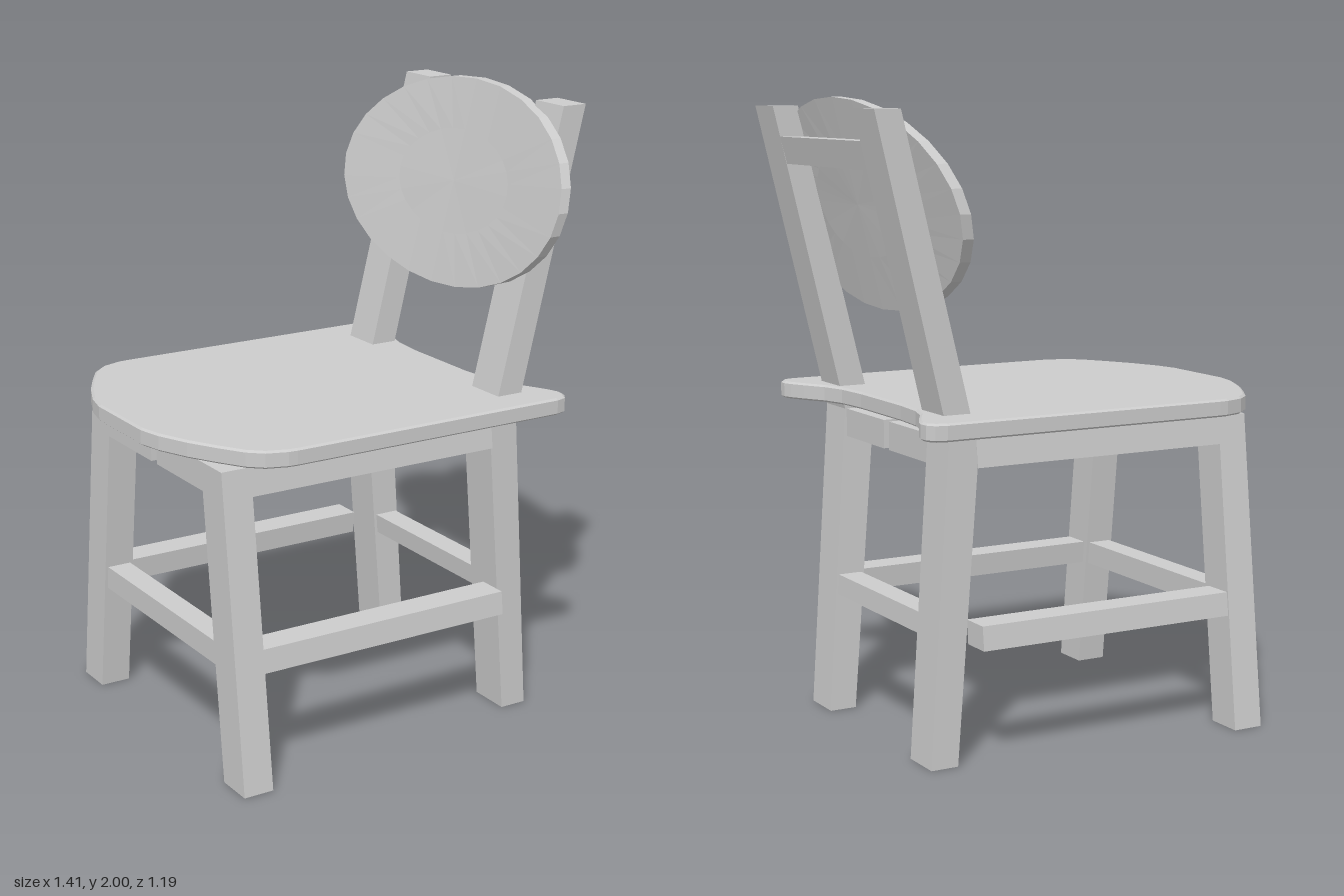
import * as THREE from 'three';

const material = new THREE.MeshStandardMaterial({ color: 0xcccccc, flatShading: true });
const MID = 0.01; // z of the frame's centre line

export function createModel() {
  const chair = new THREE.Group();

  function add(name, geometry) {
    const mesh = new THREE.Mesh(geometry, material);
    mesh.name = name;
    chair.add(mesh);
  }

  // Side profile in x/y extruded from z0 to z1; splay leans it outwards towards the floor
  function beam(name, profile, z0, z1, splay = 0) {
    const shape = new THREE.Shape(profile.map(([x, y]) => new THREE.Vector2(x, y)));
    const g = new THREE.ExtrudeGeometry(shape, { depth: z1 - z0, bevelEnabled: false });
    const p = g.attributes.position;
    for (let i = 0; i < p.count; i++) {
      p.setZ(i, p.getZ(i) + z0 + MID + splay * (1 - p.getY(i)));
    }
    g.computeVertexNormals();
    add(name, g);
  }
  const rect = (x0, x1, y0, y1) => [[x0, y0], [x1, y0], [x1, y1], [x0, y1]];

  // Parts on both sides
  for (const s of [1, -1]) {
    const side = s > 0 ? 'left' : 'right';
    const pair = (name, profile, inner, outer, splay = 0) =>
      beam(side + name, profile, Math.min(s * inner, s * outer), Math.max(s * inner, s * outer), s * splay);

    pair('FrontLeg', rect(-0.6, -0.5, 0, 1), 0.3, 0.425, 0.118);
    pair('BackLeg', [[0.44, 0], [0.53, 0], [0.465, 1], [0.7, 1.97], [0.615, 1.97], [0.375, 1], [0.37, 0.91]], 0.29, 0.43);
    pair('SideApron', rect(-0.5, 0.372, 0.91, 1), 0.33, 0.425, 0.118);
    pair('SideStretcher', rect(-0.5, 0.385, 0.365, 0.44), 0.32, 0.42, 0.118);
    // Front and back aprons are halves with a gap in the middle
    pair('FrontApron', rect(-0.6, -0.51, 0.91, 1), 0.018, 0.31);
    pair('BackApron', rect(0.375, 0.46, 0.91, 1), 0.018, 0.3);
  }

  // Cross bars
  beam('frontStretcher', rect(-0.59, -0.51, 0.365, 0.44), -0.38, 0.38);
  beam('backStretcher', [[0.42, 0.39], [0.5, 0.39], [0.495, 0.455], [0.415, 0.455]], -0.3, 0.3);
  beam('backrestCrossBar', [[0.585, 1.79], [0.655, 1.79], [0.677, 1.875], [0.607, 1.875]], -0.3, 0.3);

  // Seat: half outline from the front centre to the back centre, then mirrored
  const half = [
    [-0.71, 0.14], [-0.692, 0.22], [-0.65, 0.32], [-0.6, 0.41], [-0.55, 0.49], [-0.505, 0.53], [-0.44, 0.552],
    [-0.41, 0.555], [0.54, 0.555], [0.575, 0.545], [0.593, 0.52], [0.595, 0.49],
    [0.585, 0.46], [0.56, 0.41], [0.52, 0.34], [0.495, 0.26], [0.485, 0.14],
  ];
  const outline = [...half, ...half.slice().reverse().map(([x, z]) => [x, -z])];
  const seatShape = new THREE.Shape(outline.map(([x, z]) => new THREE.Vector2(x, z)));
  const seat = new THREE.ExtrudeGeometry(seatShape, {
    depth: 0.043, bevelThickness: 0.006, bevelSize: 0.008, bevelOffset: -0.008, bevelSegments: 1,
  });
  seat.rotateX(Math.PI / 2);
  seat.translate(0, 1.069, 0);
  add('seat', seat);

  // Backrest: oval panel, leaning back, with its ends bent forwards
  const t = 0.035;
  const profile = [[0, 0], [0.5, 0], [1, 0], [1, t], [0.5, t], [0, t]].map(([r, h]) => new THREE.Vector2(r, h));
  const panel = new THREE.LatheGeometry(profile, 28);
  const p = panel.attributes.position;
  for (let i = 0; i < p.count; i++) {
    const u = p.getX(i), v = p.getZ(i);
    p.setXYZ(i, 0.52 + 0.083 * v - 0.035 * u * u + p.getY(i), 1.675 + 0.325 * v, 0.597 * u);
  }
  panel.computeVertexNormals();
  add('backrestPanel', panel);

  return chair;
}
